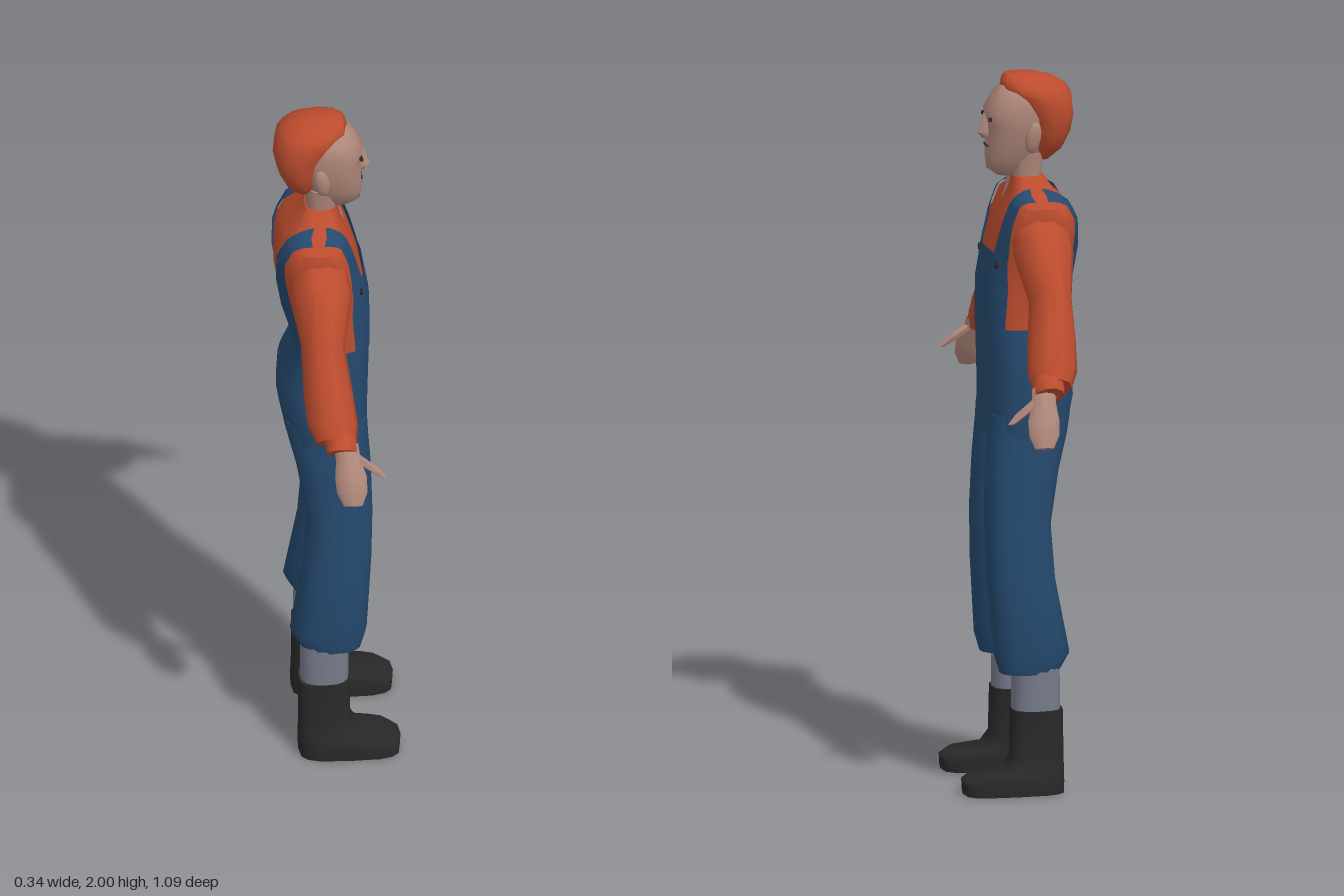
import * as THREE from 'three';
import { toCreasedNormals } from 'three/addons/utils/BufferGeometryUtils.js';

const mat = (name, color, side = THREE.FrontSide) => {
  const m = new THREE.MeshStandardMaterial({ color, side });
  m.name = name;
  return m;
};

// Surface through a grid of points; closed lofts get end caps and outward winding.
function surface(rows, closed) {
  const n = rows[0].length, pos = [], idx = [];
  rows.forEach(r => r.forEach(p => pos.push(...p)));
  for (let i = 0; i < rows.length - 1; i++) {
    for (let j = 0; j < (closed ? n : n - 1); j++) {
      const a = i * n + j, b = i * n + (j + 1) % n;
      idx.push(a, b, b + n, a, b + n, a + n);
    }
  }
  if (closed) {
    [0, rows.length - 1].forEach(i => {
      const c = pos.length / 3, mid = [0, 1, 2].map(k => rows[i].reduce((s, p) => s + p[k] / n, 0));
      pos.push(...mid);
      for (let j = 0; j < n; j++) {
        const a = i * n + j, b = i * n + (j + 1) % n;
        if (i) idx.push(c, a, b); else idx.push(c, b, a);
      }
    });
    const v = k => new THREE.Vector3().fromArray(pos, idx[k] * 3);
    let volume = 0;
    for (let k = 0; k < idx.length; k += 3) volume += v(k).dot(v(k + 1).cross(v(k + 2)));
    if (volume < 0) idx.reverse();
  }
  const g = new THREE.BufferGeometry();
  g.setAttribute('position', new THREE.Float32BufferAttribute(pos, 3));
  g.setIndex(idx);
  return toCreasedNormals(g, 0.9);
}

// Rounded horizontal sections: [y, back x, front x, z1, z2]
const pw = (v, e) => Math.sign(v) * Math.abs(v) ** e;
function stack(table, n = 2.4, sides = 16) {
  return surface(table.map(([y, xb, xf, z1, z2]) => Array.from({ length: sides }, (_, i) => {
    const a = i / sides * Math.PI * 2;
    return [(xb + xf) / 2 + (xf - xb) / 2 * pw(Math.cos(a), 2 / n), y,
      (z1 + z2) / 2 + (z2 - z1) / 2 * pw(Math.sin(a), 2 / n)];
  })), true);
}
const centred = t => t.map(([y, xb, xf, h]) => [y, xb, xf, -h, h]);

// Oval sections along a limb: [z, y, x, thickness radius, x radius]
function limb(path, s, sides = 10) {
  return surface(path.map(([z, y, x, rp, rx], i) => {
    const a = path[Math.max(0, i - 1)], b = path[Math.min(path.length - 1, i + 1)];
    const l = Math.hypot(b[0] - a[0], b[1] - a[1]), dz = (b[0] - a[0]) / l, dy = (b[1] - a[1]) / l;
    return Array.from({ length: sides }, (_, k) => {
      const t = k / sides * Math.PI * 2, q = rp * Math.sin(t);
      return [x + rx * Math.cos(t), y + q * dz, s * (z - q * dy)];
    });
  }), true);
}

// Body sections: [y, back x, front x, half width]
const TORSO = [[1.0, -.14, .08, .165], [1.1, -.16, .08, .168], [1.18, -.155, .082, .165],
  [1.25, -.125, .084, .16], [1.32, -.122, .085, .155], [1.42, -.155, .083, .156],
  [1.52, -.172, .065, .172], [1.6, -.168, .04, .195], [1.65, -.142, .02, .185],
  [1.675, -.115, .008, .112], [1.715, -.088, 0, .068]];
const TN = 2.8;
function section(y) {
  let i = 0;
  while (i < TORSO.length - 2 && TORSO[i + 1][0] < y) i++;
  const a = TORSO[i], b = TORSO[i + 1], t = (y - a[0]) / (b[0] - a[0]);
  return a.map((v, k) => v + (b[k] - v) * t);
}
function torsoX(z, y, dir) {
  const [, xb, xf, h] = section(y);
  return (xb + xf) / 2 + dir * (xf - xb) / 2 * Math.max(0, 1 - (Math.abs(z) / h) ** TN) ** (1 / TN);
}
function shoulderTop(z) {
  let y = 1.715;
  while (section(y)[3] < z) y -= .001;
  return y;
}

export function createModel() {
  const M = {
    rust: mat('rust', 0xbc4c2e),
    denim: mat('denim', 0x25496e, THREE.DoubleSide),
    skin: mat('skin', 0xb0887a, THREE.DoubleSide),
    sock: mat('sock grey', 0x767b8b),
    boot: mat('boot black', 0x282828),
    dark: mat('dark detail', 0x33262a)
  };
  const root = new THREE.Group();
  root.name = 'workman';
  const add = (name, geo, m, p) => {
    const mesh = new THREE.Mesh(geo, m);
    mesh.name = name;
    if (p) mesh.position.set(...p);
    root.add(mesh);
    return mesh;
  };

  // Shirt body and overalls trunk
  add('shirt', stack(centred(TORSO.filter(r => r[0] > 1.2)), TN, 24), M.rust);
  const trunk = [1, 1.05, 1.1, 1.18, 1.25, 1.305].map(y => {
    const [, b, f, h] = section(y);
    return [y, b - .005, f + .005, h + .005];
  });
  add('trunk', stack(centred(trunk), TN, 24), M.denim);

  // Bib lying on the chest
  const bib = [1.28, 1.36, 1.42, 1.47, 1.515].map(y => Array.from({ length: 13 }, (_, i) => {
    const z = (i / 6 - 1) * .145;
    return [torsoX(z, y, 1) + .007, y, z];
  }));
  add('bib', surface(bib, false), M.denim);

  // Neck, open collar
  add('neck', stack(centred([[1.66, -.08, -.005, .045], [1.72, -.085, .002, .05], [1.78, -.09, .01, .06]])), M.skin);
  const vee = [[1.717, .026], [1.68, .016], [1.65, .001]].map(([y, w]) =>
    [-w, 0, w].map(z => [torsoX(z, Math.min(y, 1.715), 1) + .005, y, z]));
  add('openCollar', surface(vee, false), M.skin);

  // Head and hair
  add('head', stack(centred([[1.715, -.03, .04, .025], [1.735, -.06, .068, .042], [1.77, -.08, .073, .06],
    [1.82, -.11, .07, .077], [1.86, -.12, .067, .086], [1.9, -.13, .076, .088],
    [1.94, -.13, .052, .085], [1.978, -.11, .022, .055]])), M.skin);
  add('hair', stack(centred([[1.757, -.105, -.075, .03], [1.79, -.14, -.055, .07], [1.84, -.165, -.045, .089],
    [1.89, -.175, -.03, .096], [1.94, -.17, .01, .098], [1.965, -.155, .03, .088],
    [1.985, -.125, .028, .065], [2.0, -.075, .018, .032]]), 2.3, 12), M.rust);
  add('nose', stack(centred([[1.82, .04, .08, .014], [1.835, .04, .094, .018], [1.86, .04, .084, .011],
    [1.89, .04, .077, .009]]), 2, 8), M.skin);
  add('mouth', new THREE.BoxGeometry(.008, .005, .046), M.dark, [.068, 1.8, 0]);

  for (const s of [1, -1]) {
    const side = s > 0 ? 'right' : 'left';

    // Face details
    add(side + 'Eye', new THREE.BoxGeometry(.009, .009, .034), M.dark, [.0645, 1.88, s * .035]).rotation.y = s * .2;
    const ear = add(side + 'Ear', new THREE.SphereGeometry(1, 10, 8), M.skin, [-.045, 1.835, s * .094]);
    ear.scale.set(.022, .046, .014);
    ear.rotation.set(s * .15, 0, .15);

    // Straps: front half and back half meet on top of the shoulder
    for (const dir of [1, -1]) {
      const low = dir > 0 ? 1.5 : 1.26, rows = [];
      for (let i = 0; i <= 12; i++) {
        const t = Math.sin(i / 12 * Math.PI / 2);
        rows.push([0, .5, 1].map(k => {
          const shift = dir > 0 ? -.008 : -.035;
          const z = .1 + .055 * k + shift * (1 - t), top = shoulderTop(.1 + .055 * k);
          const y = low + (top - low) * t;
          return [torsoX(z, y, dir) + dir * .007 * (i < 12 ? 1 : 0), y + .006 * t, s * z];
        }));
      }
      add(side + (dir > 0 ? 'FrontStrap' : 'BackStrap'), surface(rows, false), M.denim);
    }
    const button = add(side + 'Button', new THREE.CylinderGeometry(.01, .01, .008, 10), M.dark,
      [torsoX(.115, 1.485, 1) + .009, 1.485, s * .115]);
    button.rotation.z = -Math.PI / 2;

    // Sleeve, cuff, hand and thumb
    add(side + 'Sleeve', limb([[.12, 1.57, -.06, .075, .08], [.2, 1.53, -.052, .088, .085],
      [.28, 1.42, -.055, .08, .06], [.35, 1.31, -.045, .074, .068], [.405, 1.24, -.036, .066, .07],
      [.44, 1.205, -.028, .048, .056]], s), M.rust);
    add(side + 'Cuff', limb([[.435, 1.225, -.018, .04, .042], [.452, 1.208, -.016, .044, .045],
      [.47, 1.19, -.014, .042, .043]], s), M.rust);
    add(side + 'Hand', limb([[.455, 1.21, -.003, .025, .034], [.477, 1.17, .002, .023, .034],
      [.502, 1.13, .008, .025, .044], [.52, 1.09, .01, .02, .042], [.536, 1.057, .012, .011, .026]], s, 8), M.skin);
    add(side + 'Thumb', limb([[.468, 1.18, .018, .014, .018], [.477, 1.145, .062, .014, .02],
      [.485, 1.118, .096, .008, .01]], s, 6), M.skin);

    // Trouser leg, sock and boot
    const leg = (name, table, m, n) =>
      add(side + name, stack(table.map(([y, b, f, i, o]) => [y, b, f, s * i, s * o]), n), m);
    leg('TrouserLeg', [[.335, -.105, .06, .08, .198], [.39, -.137, .076, .064, .21], [.6, -.1, .09, .032, .198],
      [.75, -.09, .094, .02, .186], [.9, -.115, .09, .008, .174], [1.0, -.14, .083, 0, .168],
      [1.06, -.15, .08, -.005, .165]], M.denim, 2.5);
    leg('Sock', [[.22, -.11, .025, .083, .198], [.36, -.108, .025, .083, .198]], M.sock, 2.6);
    leg('Boot', [[0, -.115, .166, .082, .232], [.035, -.117, .168, .08, .232], [.055, -.116, .14, .082, .226],
      [.066, -.116, .055, .085, .217], [.1, -.115, .03, .086, .208], [.232, -.115, .028, .08, .202]], M.boot, 3.6);
  }
  return root;
}
